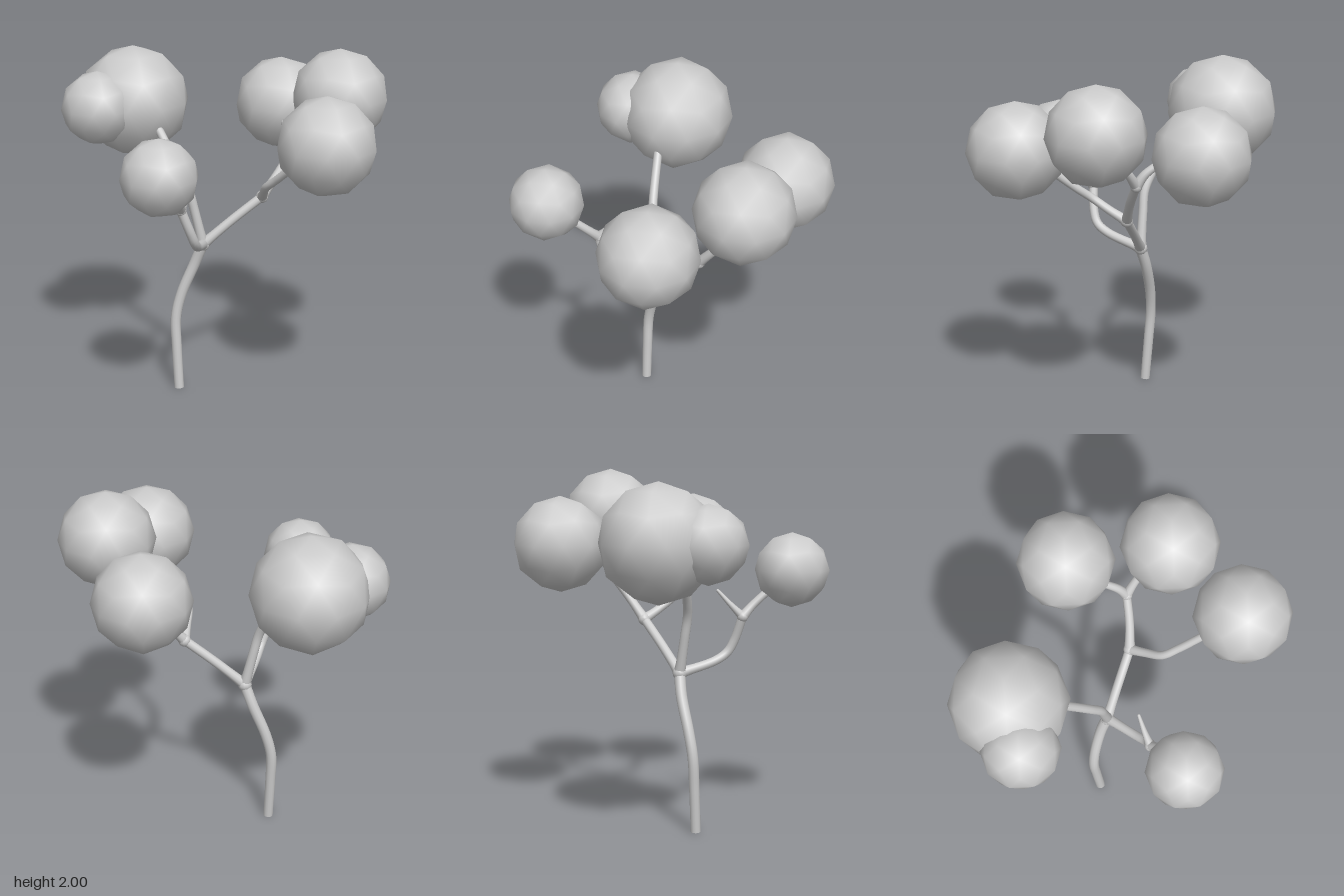
import * as THREE from 'three';

const material = new THREE.MeshStandardMaterial({ color: 0xcccccc });

// Round limb along a smooth path, tapering from r0 to r1, swelling at its start by flare
function limb(name, points, r0, r1, flare = 0.35) {
  const curve = new THREE.CatmullRomCurve3(points.map(p => new THREE.Vector3(...p)));
  const rings = 28, sides = 12;
  const geometry = new THREE.TubeGeometry(curve, rings, 1, sides, false);
  const position = geometry.attributes.position;
  const length = curve.getLength();
  const v = new THREE.Vector3();
  for (let i = 0; i <= rings; i++) {
    const t = i / rings;
    const centre = curve.getPointAt(t);
    const swell = 1 + flare * Math.exp(-t * length / 0.045);
    const radius = THREE.MathUtils.lerp(r0, r1, t) * swell;
    for (let j = 0; j <= sides; j++) {
      const k = i * (sides + 1) + j;
      v.fromBufferAttribute(position, k).sub(centre).multiplyScalar(radius).add(centre);
      position.setXYZ(k, v.x, v.y, v.z);
    }
  }
  const mesh = new THREE.Mesh(geometry, material);
  mesh.name = name;
  return mesh;
}

function ball(name, [x, y, z], radius) {
  const mesh = new THREE.Mesh(new THREE.SphereGeometry(radius, 12, 8), material);
  mesh.name = name;
  mesh.position.set(x, y, z);
  return mesh;
}

export function createModel() {
  const tree = new THREE.Group();
  tree.name = 'tree';

  // Points where the limbs divide
  const mainFork = [-0.1, 0.88, 0.1];
  const frontFork = [0.11, 1.19, 0.39];
  const backFork = [0.06, 1.15, -0.2];
  const upperFork = [0.065, 1.41, -0.42];

  // Trunk with a flat foot
  tree.add(limb('trunk', [[-0.165, 0, 0.23], [-0.185, 0.25, 0.23], [-0.197, 0.43, 0.226],
    [-0.185, 0.57, 0.195], [-0.14, 0.76, 0.13], mainFork], 0.028, 0.032, 0));
  const foot = new THREE.Mesh(new THREE.CircleGeometry(0.028, 12).rotateX(Math.PI / 2), material);
  foot.name = 'trunkFoot';
  foot.position.set(-0.165, 0, 0.23);
  tree.add(foot);

  // Branches: name, path, start radius, end radius
  const branches = [
    ['rightBranch', [mainFork, [-0.123, 1.08, 0.14], [-0.14, 1.2, 0.165], [-0.185, 1.29, 0.185], [-0.37, 1.55, 0.23]], 0.027, 0.024],
    ['frontBranch', [mainFork, [0.06, 0.94, 0.25], [0.108, 0.985, 0.3], [0.12, 1.05, 0.335], frontFork], 0.026, 0.026],
    ['frontUpperBranch', [frontFork, [0.155, 1.25, 0.43], [0.22, 1.35, 0.52]], 0.023, 0.022],
    ['frontTwig', [frontFork, [0.085, 1.255, 0.33], [0.06, 1.335, 0.26]], 0.021, 0.009],
    ['backBranch', [mainFork, [-0.02, 1.02, -0.05], backFork], 0.026, 0.026],
    ['leftBranch', [backFork, [0.14, 1.2, -0.15], [0.23, 1.265, -0.1], [0.32, 1.33, -0.105], [0.47, 1.45, -0.125]], 0.024, 0.022],
    ['backUpperBranch', [backFork, [0.07, 1.28, -0.31], upperFork], 0.025, 0.024],
    ['backLeftTwig', [upperFork, [0.11, 1.48, -0.455], [0.17, 1.57, -0.49]], 0.023, 0.021],
    ['backRightTwig', [upperFork, [0.02, 1.475, -0.43], [-0.05, 1.53, -0.44]], 0.024, 0.021],
  ];
  for (const [name, path, r0, r1] of branches) {
    tree.add(limb(name, path, r0, r1));
    tree.add(ball(name + 'Tip', path[path.length - 1], r1));
  }

  // Thickened joints at the forks
  for (const [name, point, r] of [['mainJoint', mainFork, 0.04], ['frontJoint', frontFork, 0.032],
    ['backJoint', backFork, 0.036], ['upperJoint', upperFork, 0.033]]) {
    tree.add(ball(name, point, r));
  }

  // Foliage: faceted balls with a vertex pointing up
  const leafGeometry = new THREE.IcosahedronGeometry(1, 1)
    .rotateX(-Math.atan((1 + Math.sqrt(5)) / 2))
    .rotateY(-0.05);
  const foliage = [
    ['rightFoliage', [-0.615, 1.64, 0.22], 0.32],
    ['frontRightFoliage', [-0.575, 1.64, 0.485], 0.21],
    ['backRightFoliage', [-0.25, 1.59, -0.57], 0.27],
    ['backLeftFoliage', [0.31, 1.73, -0.545], 0.27],
    ['leftFoliage', [0.66, 1.58, -0.165], 0.27],
    ['frontLeftFoliage', [0.26, 1.45, 0.625], 0.21],
  ];
  for (const [name, centre, radius] of foliage) {
    const mesh = new THREE.Mesh(leafGeometry, material);
    mesh.name = name;
    mesh.position.set(...centre);
    mesh.scale.setScalar(radius);
    tree.add(mesh);
  }
  return tree;
}
